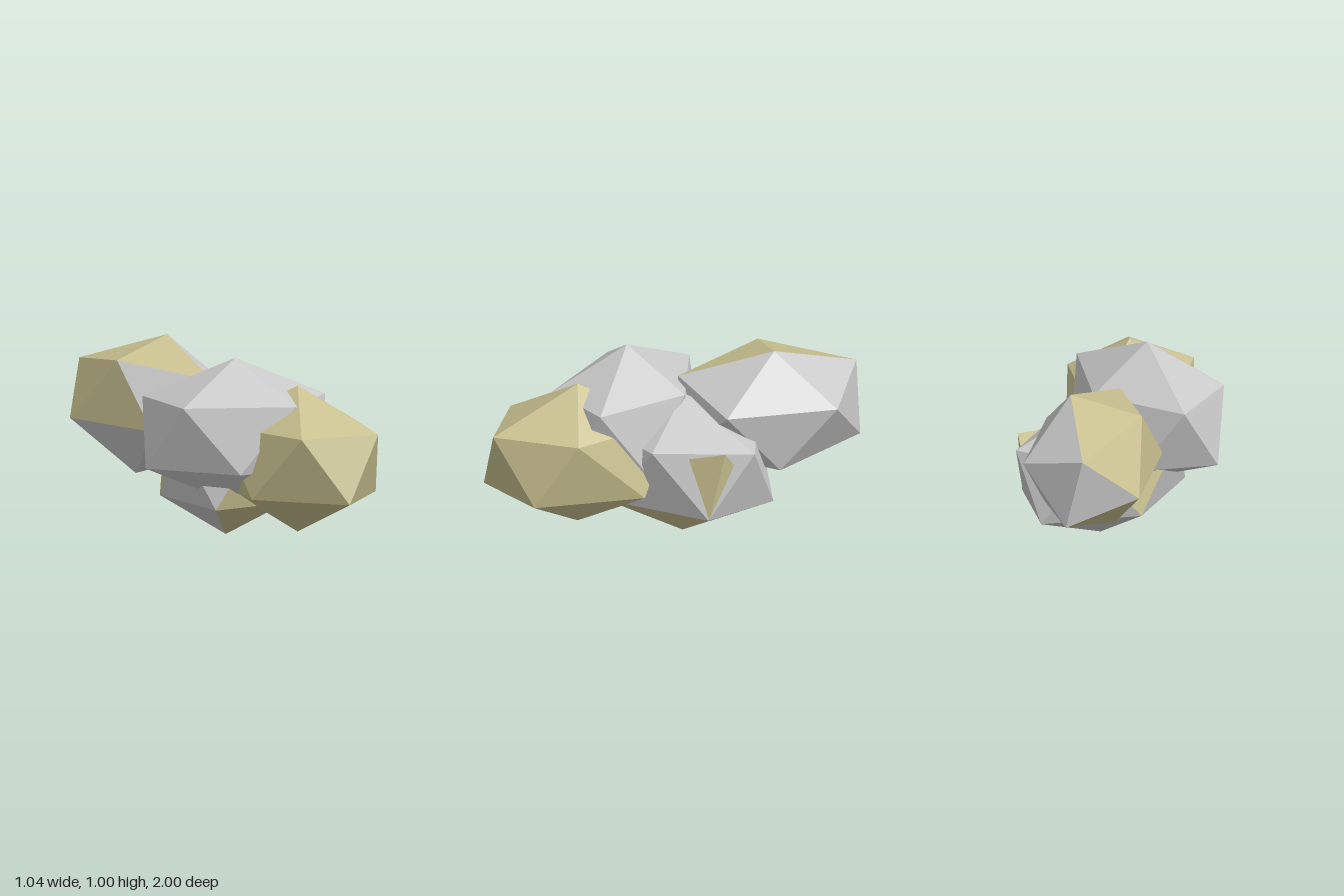
import * as THREE from 'three';
import { ConvexGeometry } from 'three/addons/geometries/ConvexGeometry.js';

const R = 0.39, RING_X = 0.349, RING_Z = 0.505;

// Corners of one elongated twenty-sided boulder: top, upper ring, opposite lower ring, bottom
function boulderFaces(nudge = 0) {
  const top = new THREE.Vector3(0, R, 0);
  const bottom = new THREE.Vector3(0, -R, 0);
  const upper = [], lower = [];
  for (let k = 0; k < 5; k++) {
    const t = k * Math.PI * 0.4;
    const v = new THREE.Vector3(RING_X * Math.cos(t), R * 0.447, RING_Z * Math.sin(t));
    upper.push(v);
    lower.push(v.clone().negate());
  }
  upper[0].z += nudge;
  const U = (i) => upper[i % 5], L = (i) => lower[i % 5];
  const faces = {};
  for (let k = 0; k < 5; k++) {
    faces['cap' + k] = [top, U(k + 1), U(k)];
    faces['down' + k] = [U(k), U(k + 1), L(k + 3)];
    faces['up' + k] = [L(k + 4), L(k + 3), U(k + 1)];
    faces['base' + k] = [bottom, L(k + 3), L(k + 4)];
  }
  return faces;
}

// Boulder with the named facets in the second material
function makeBoulder(name, main, accent, accentFaces, nudge) {
  const group = new THREE.Group();
  group.name = name;
  const faces = boulderFaces(nudge);
  const build = (label, keys, material) => {
    if (!keys.length) return;
    const geometry = new THREE.BufferGeometry().setFromPoints(keys.flatMap((k) => faces[k]));
    geometry.computeVertexNormals();
    const mesh = new THREE.Mesh(geometry, material);
    mesh.name = label;
    group.add(mesh);
  };
  build(name + 'Body', Object.keys(faces).filter((k) => !accentFaces.includes(k)), main);
  build(name + 'Facets', accentFaces, accent);
  return group;
}

export function createModel() {
  const model = new THREE.Group();
  model.name = 'rockCluster';
  const gray = new THREE.MeshStandardMaterial({ color: 0xc8c8c8 });
  gray.name = 'grayStone';
  const tan = new THREE.MeshStandardMaterial({ color: 0xc8c08f });
  tan.name = 'tanStone';

  // Tan boulder at the front
  const front = makeBoulder('frontBoulder', tan, gray, [], 0.075);
  front.position.set(0.068, 0.48, 0.516);

  // Large gray boulder, turned diagonally
  const side = makeBoulder('sideBoulder', gray, tan, []);
  side.position.set(-0.09, 0.61, 0.215);
  side.rotation.y = THREE.MathUtils.degToRad(48);

  // Low boulder, turned the other way, tan underneath at the front
  const low = makeBoulder('lowBoulder', gray, tan, ['base0', 'base4', 'up0', 'down2']);
  low.position.set(0.107, 0.39, -0.04);
  low.rotation.y = THREE.MathUtils.degToRad(-40);

  // Rear boulder, tipped sideways
  const rear = makeBoulder('rearBoulder', gray, tan, ['cap0', 'cap4', 'down0', 'up4', 'base0']);
  rear.position.set(0.047, 0.643, -0.52);
  rear.rotation.set(0, Math.PI, -0.326, 'ZYX');
  rear.scale.set(0.96, 0.96, 1);

  // Tan sliver breaking out of the low boulder
  const sliver = new THREE.Mesh(new ConvexGeometry([
    [0.43, 0.54, 0.0], [0.523, 0.587, -0.175], [0.49, 0.51, -0.23], [0.516, 0.22, -0.09], [0.38, 0.45, -0.1],
  ].map((p) => new THREE.Vector3(...p))), tan);
  sliver.name = 'tanSliver';

  model.add(front, side, low, rear, sliver);
  return model;
}
